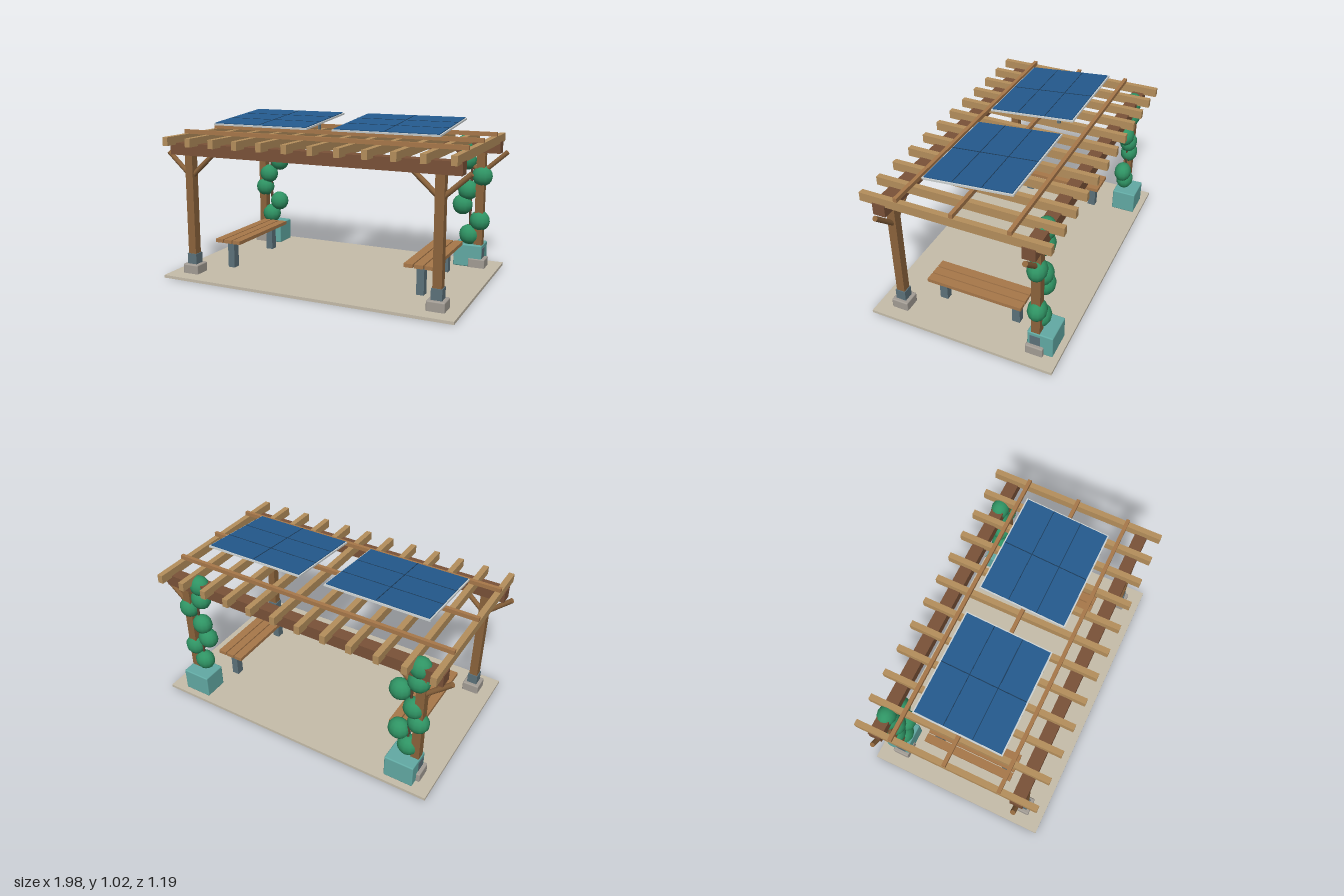
import * as THREE from 'three';
import { RoundedBoxGeometry } from 'three/addons/geometries/RoundedBoxGeometry.js';

const mat = (color, flatShading = false) => {
  const m = new THREE.MeshStandardMaterial({ flatShading });
  m.color.setHex(color);
  return m;
};

export function createModel() {
  const M = {
    slab: mat(0xc6bdaa), stone: mat(0xa39d95), steel: mat(0x5c727b),
    post: mat(0x8c643c), beam: mat(0x7a5238), rafter: mat(0xb58f5c),
    batten: mat(0xa8784a), planter: mat(0x62aaa4), leaf: mat(0x2f9464),
    stem: mat(0x5a4430), cell: mat(0x245a8e), grid: mat(0x1b3a58), frame: mat(0xcdd2d2),
  };
  const model = new THREE.Group();

  const add = (name, geometry, material, x, y, z, parent = model) => {
    const mesh = new THREE.Mesh(geometry, material);
    mesh.name = name;
    mesh.position.set(x, y, z);
    parent.add(mesh);
    return mesh;
  };
  const box = (name, material, w, h, d, x, y, z, parent) =>
    add(name, new THREE.BoxGeometry(w, h, d), material, x, y, z, parent);
  const rounded = (name, material, w, h, d, x, y, z, parent) =>
    add(name, new RoundedBoxGeometry(w, h, d, 2, 0.008), material, x, y, z, parent);

  // Round bar between two points
  const bar = (name, a, b, radius, material, parent) => {
    const dir = b.clone().sub(a);
    const mid = a.clone().add(b).multiplyScalar(0.5);
    const mesh = add(name, new THREE.CylinderGeometry(radius, radius, dir.length(), 10),
      material, mid.x, mid.y, mid.z, parent);
    mesh.quaternion.setFromUnitVectors(new THREE.Vector3(0, 1, 0), dir.normalize());
  };

  // Ground slab
  box('groundSlab', M.slab, 1.906, 0.018, 1.19, 0, 0.011, 0);

  // Four posts with footing, steel shoe and two diagonal braces
  const postX = 0.817, postZ = 0.447;
  for (const sx of [-1, 1]) {
    for (const sz of [-1, 1]) {
      const corner = new THREE.Group();
      corner.name = 'postAssembly';
      corner.position.set(sx * postX, 0, sz * postZ);
      model.add(corner);
      rounded('footing', M.stone, 0.11, 0.08, 0.11, 0, 0.04, 0, corner);
      box('postShoe', M.steel, 0.066, 0.07, 0.066, 0, 0.112, 0, corner);
      box('post', M.post, 0.054, 0.68, 0.054, 0, 0.47, 0, corner);
      for (const side of [-1, 1]) {
        bar('brace', new THREE.Vector3(0, 0.645, 0), new THREE.Vector3(side * 0.165, 0.795, 0),
          0.016, M.post, corner);
      }
    }
  }

  // Main beams
  for (const sz of [-1, 1]) box('beam', M.beam, 1.884, 0.075, 0.078, 0, 0.823, sz * postZ);

  // Rafters across, battens along
  for (let i = 0; i < 12; i++) {
    box('rafter', M.rafter, 0.036, 0.054, 1.138, -0.918 + i * 0.1669, 0.877, 0);
  }
  for (const z of [-0.338, 0, 0.338]) {
    box('batten', M.batten, 1.868, 0.026, 0.023, 0, 0.917, z);
  }

  // Tilted solar panels on struts
  for (const sx of [-1, 1]) {
    const panel = new THREE.Group();
    panel.name = 'solarPanel';
    panel.position.set(sx * 0.419, 0.988, 0);
    panel.rotation.x = 0.088;
    model.add(panel);
    box('panelFrame', M.frame, 0.67, 0.011, 0.556, 0, 0, 0, panel);
    box('panelCells', M.cell, 0.652, 0.008, 0.538, 0, 0.007, 0, panel);
    box('cellDivider', M.grid, 0.005, 0.002, 0.538, 0, 0.0115, 0, panel);
    for (const z of [-0.09, 0.09]) {
      box('cellDivider', M.grid, 0.652, 0.002, 0.004, 0, 0.0115, z, panel);
    }
    for (const dx of [-0.215, 0.215]) {
      box('panelStrut', M.steel, 0.012, 0.087, 0.023, sx * 0.419 + dx, 0.952, -0.139);
    }
  }

  // Slatted benches
  for (const sx of [-1, 1]) {
    const bench = new THREE.Group();
    bench.name = 'bench';
    bench.position.x = sx * 0.654;
    model.add(bench);
    for (const i of [-1, 0, 1]) {
      box('benchSlat', M.batten, 0.056, 0.023, 0.622, i * 0.064, 0.203, 0, bench);
    }
    for (const sz of [-1, 1]) {
      box('benchLeg', M.steel, 0.047, 0.174, 0.052, 0, 0.106, sz * 0.247, bench);
    }
  }

  // Planters with climbing plants: leaf clumps zigzag up a stem
  const sway = [-0.003, 0.063, -0.055, -0.022, 0.07, -0.037, -0.04];
  const clump = new THREE.SphereGeometry(0.068, 12, 8);
  clump.scale(1, 1, 0.85);
  for (const sx of [-1, 1]) {
    const plant = new THREE.Group();
    plant.name = 'climbingPlant';
    plant.position.set(sx * 0.755, 0, postZ * -1);
    model.add(plant);
    rounded('planter', M.planter, 0.188, 0.15, 0.16, 0, 0.095, -0.03, plant);
    bar('vineStem', new THREE.Vector3(0, 0.16, 0), new THREE.Vector3(0, 0.84, 0), 0.008, M.stem, plant);
    sway.forEach((dx, i) => add('leafClump', clump, M.leaf, dx, 0.23 + i * 0.1, 0, plant));
  }

  return model;
}
